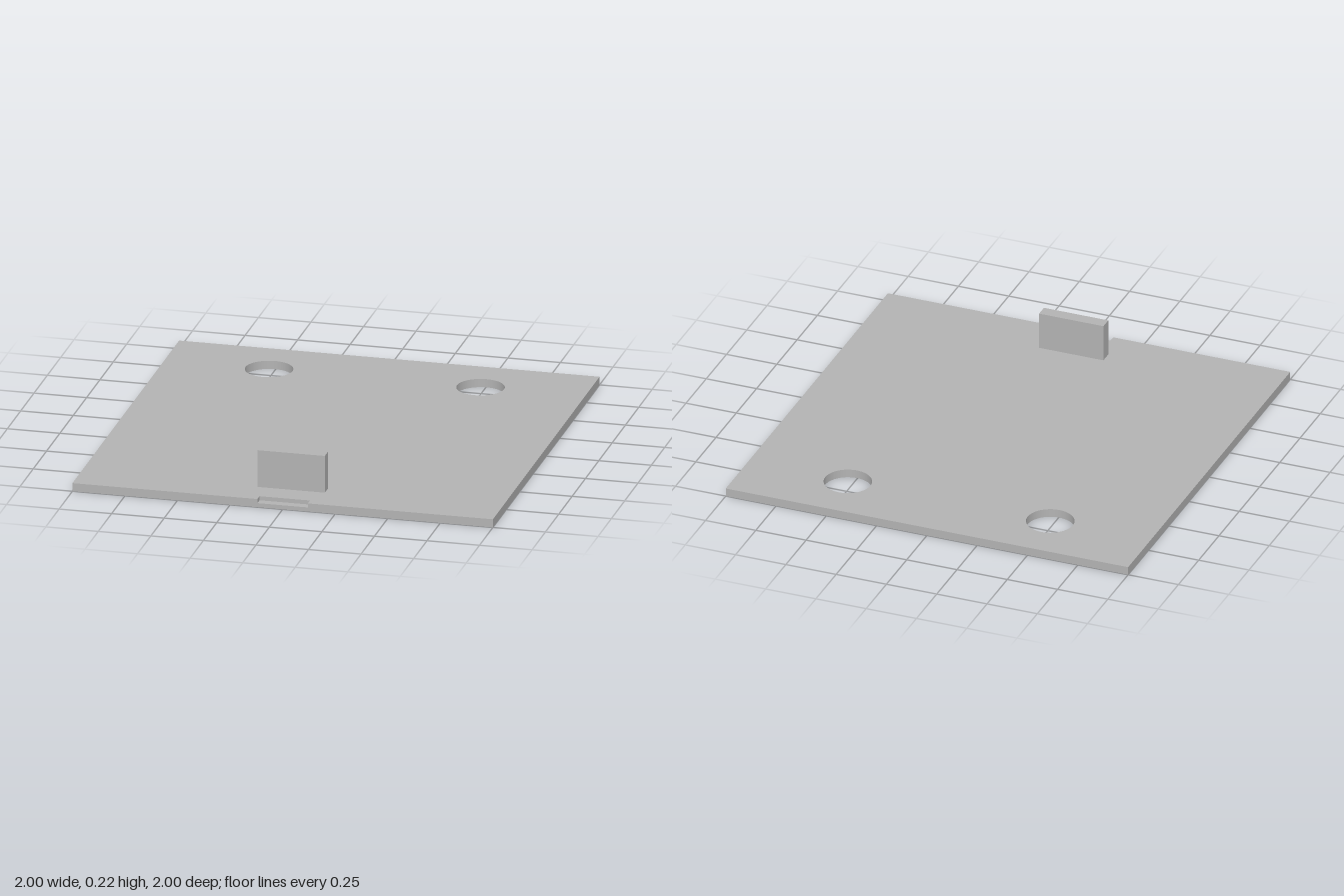
import * as THREE from 'three';

const THICK = 0.04, HALF = THICK / 2;

// One horizontal layer of the plate, with the two round holes
function layer(outline, y, material, name) {
  const shape = new THREE.Shape(outline.map(([x, z]) => new THREE.Vector2(x, -z)));
  for (const x of [-0.503, 0.503]) {
    const hole = new THREE.Path();
    hole.absarc(x, 0.727, 0.112, 0, Math.PI * 2, true);
    shape.holes.push(hole);
  }
  const geometry = new THREE.ExtrudeGeometry(shape, { depth: HALF, bevelEnabled: false, curveSegments: 48 });
  geometry.rotateX(-Math.PI / 2);
  const mesh = new THREE.Mesh(geometry, material);
  mesh.position.y = y;
  mesh.name = name;
  return mesh;
}

export function createModel() {
  const model = new THREE.Group();
  model.name = 'platePart';
  const grey = new THREE.MeshStandardMaterial({ color: 0xb3b3b3 });
  grey.name = 'grey';

  // Full lower layer, and upper layer with a shallow notch in the front edge
  const left = [[1, 1], [1, -1], [-1, -1], [-1, 1]];
  const notch = [[-0.12, 1], [-0.12, 0.96], [0.12, 0.96], [0.12, 1]];
  model.add(layer(left, 0, grey, 'plateBottom'));
  model.add(layer([...left, ...notch], HALF, grey, 'plateTop'));

  // Upright tab behind the notch
  const tab = new THREE.Mesh(new THREE.BoxGeometry(0.32, 0.18, 0.06), grey);
  tab.position.set(0, THICK + 0.09, 0.81);
  tab.name = 'uprightTab';
  model.add(tab);

  return model;
}
